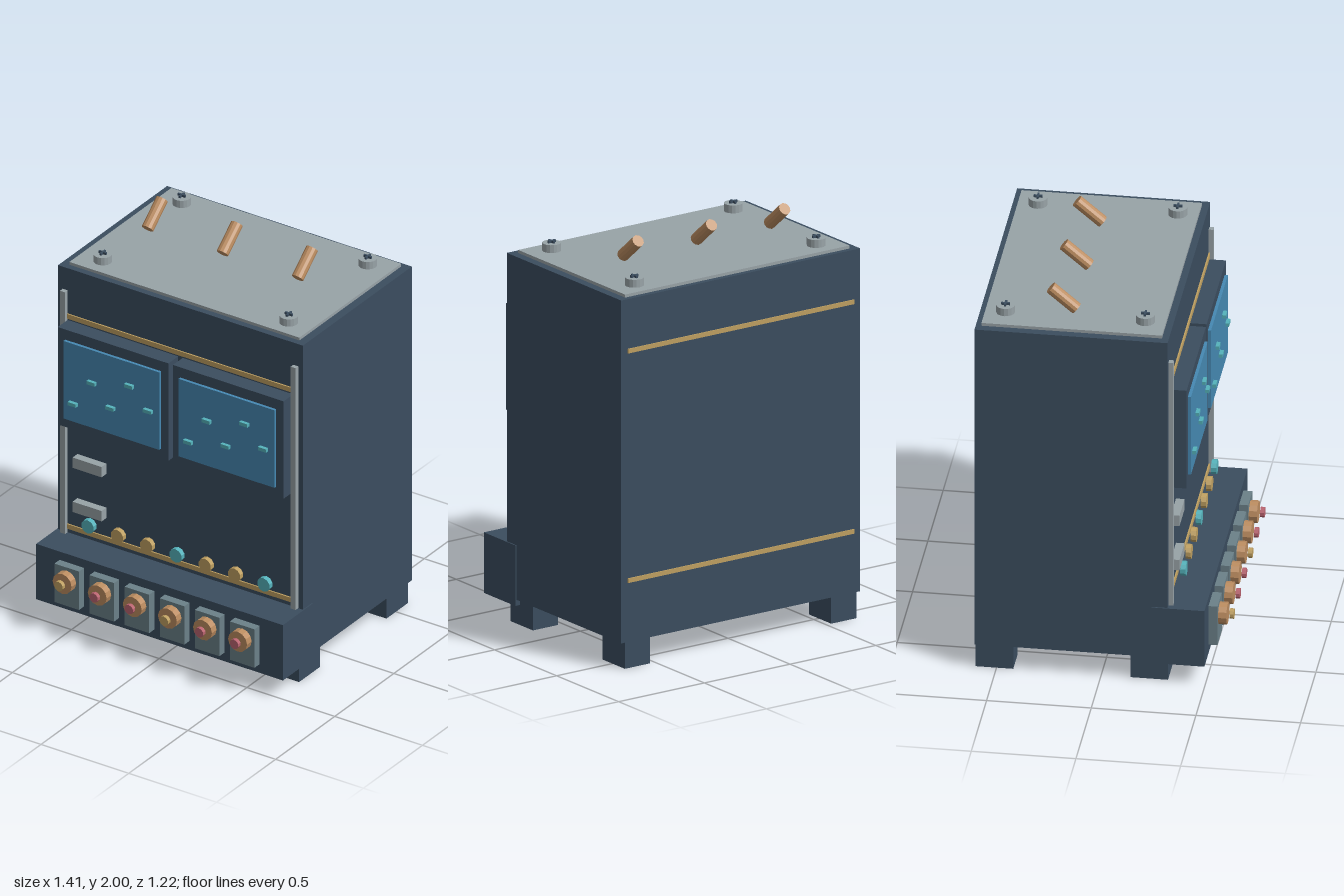
import * as THREE from 'three';

const mat = (name, color, flatShading = false) => {
  const m = new THREE.MeshStandardMaterial({ color });
  m.name = name;
  m.flatShading = flatShading;
  return m;
};

export function createModel() {
  const navy = mat('navy', 0x3b4d5f);
  const lightGrey = mat('lightGrey', 0x98a3a7, true);
  const slate = mat('slate', 0x6b8189);
  const blue = mat('screenBlue', 0x4689b3);
  const teal = mat('teal', 0x55b2bb, true);
  const gold = mat('gold', 0xbfa061, true);
  const copper = mat('copper', 0xbb8c60, true);
  const red = mat('red', 0xb9636f, true);

  const model = new THREE.Group();
  model.name = 'controlCabinet';

  // Box given by its limits on each axis
  const box = (name, m, [x0, x1], [y0, y1], [z0, z1]) => {
    const mesh = new THREE.Mesh(new THREE.BoxGeometry(x1 - x0, y1 - y0, z1 - z0), m);
    mesh.position.set((x0 + x1) / 2, (y0 + y1) / 2, (z0 + z1) / 2);
    mesh.name = name;
    model.add(mesh);
    return mesh;
  };
  // Cylinder with its axis tilted about x
  const rod = (name, m, r, h, sides, x, y, z, tilt = 0) => {
    const mesh = new THREE.Mesh(new THREE.CylinderGeometry(r, r, h, sides), m);
    mesh.position.set(x, y, z);
    mesh.rotation.x = tilt;
    mesh.name = name;
    model.add(mesh);
    return mesh;
  };
  const span = (c, half) => [c - half, c + half];

  // Cabinet, front ledge and top plate
  box('cabinet', navy, [-0.697, 0.697], [0.13, 1.83], [-0.602, 0.32]);
  box('frontLedge', navy, [-0.703, 0.703], [0.1, 0.4], [0.243, 0.497]);
  box('topPlate', lightGrey, [-0.655, 0.655], [1.82, 1.845], [-0.575, 0.287]);

  for (const s of [-1, 1]) {
    // Feet
    box('frontFoot', navy, span(s * 0.602, 0.073), [0, 0.135], [0.14, 0.319]);
    box('backFoot', navy, span(s * 0.602, 0.073), [0, 0.135], [-0.601, -0.42]);

    // Side rails
    box('rail', lightGrey, span(s * 0.657, 0.014), [0.4, 1.71], [0.315, 0.343]);

    // Monitors with signal marks
    const c = s * 0.328;
    box('monitorFrame', navy, span(c, 0.315), [1.022, 1.55], [0.315, 0.403]);
    box('screen', blue, span(c, 0.273), [1.075, 1.495], [0.4, 0.418]);
    [1.175, 1.322, 1.22, 1.373, 1.271].forEach((y, i) =>
      box('signalMark', teal, span(c + (i - 2) * 0.107, 0.023), span(y, 0.009), [0.415, 0.436]));

    // Top bolts with cross slots
    for (const z of [-0.478, 0.19]) {
      const x = s * 0.53;
      rod('bolt', lightGrey, 0.045, 0.042, 16, x, 1.863, z);
      box('boltCross', navy, span(x, 0.021), [1.88, 1.896], span(z, 0.005));
      box('boltCross', navy, span(x, 0.005), [1.88, 1.895], span(z, 0.021));
    }
  }

  // Gold trim on front and back
  for (const y of [1.573, 0.435]) {
    box('frontTrim', gold, [-0.643, 0.643], span(y, 0.0125), [0.315, 0.327]);
    box('backTrim', gold, [-0.66, 0.66], span(y, 0.011), [-0.608, -0.6]);
  }

  // Label plates
  for (const y of [0.813, 0.574])
    box('labelPlate', lightGrey, [-0.587, -0.422], span(y, 0.028), [0.315, 0.361]);

  // Row of knobs
  for (let i = 0; i < 7; i++)
    rod('knob', i % 3 ? gold : teal, 0.036, 0.026, 10, -0.489 + i * 0.167, 0.505, 0.368, Math.PI / 2);

  // Sockets on the ledge
  for (let i = 0; i < 6; i++) {
    const x = -0.5 + i * 0.2;
    box('socketPlate', slate, span(x, 0.07), [0.147, 0.355], [0.49, 0.54]);
    rod('socketNut', copper, 0.054, 0.045, 12, x, 0.285, 0.557, Math.PI / 2);
    rod('socketTip', i % 3 ? red : gold, 0.025, 0.02, 10, x, 0.285, 0.6, Math.PI / 2);
  }

  // Tilted levers on top
  for (const x of [-0.5, -0.073, 0.355])
    rod('lever', copper, 0.03, 0.16, 12, x, 1.925, -0.205, -THREE.MathUtils.degToRad(50));

  return model;
}
